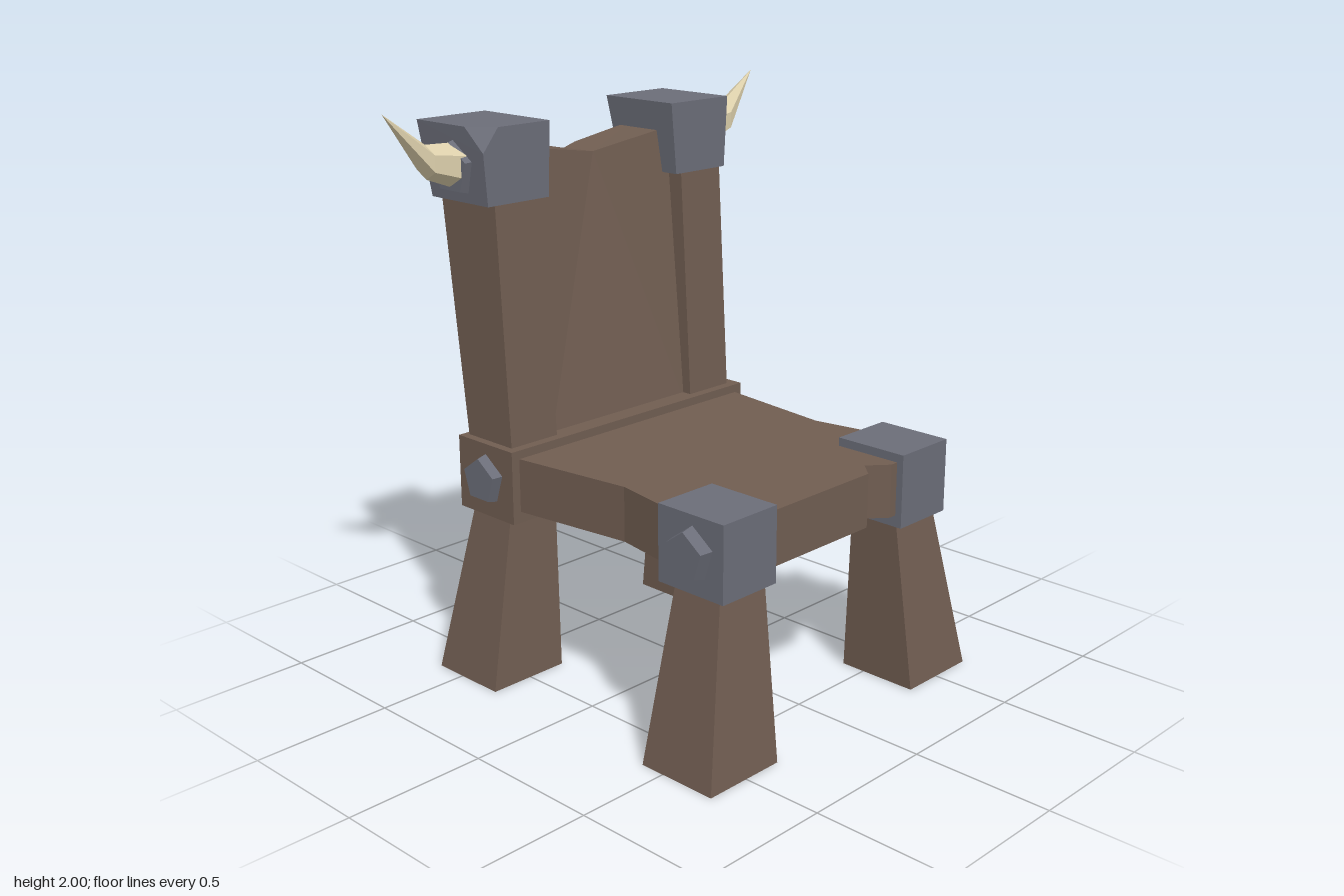
import * as THREE from 'three';
import { ConvexGeometry } from 'three/addons/geometries/ConvexGeometry.js';

const material = (name, color) => {
  const m = new THREE.MeshStandardMaterial({ color });
  m.name = name;
  return m;
};

// Geometry from a list of points and triangles
function triangles(points, faces) {
  const g = new THREE.BufferGeometry();
  g.setAttribute('position', new THREE.Float32BufferAttribute(points.flat(), 3));
  g.setIndex(faces.flat());
  return g;
}

// Skin through closed rings of equal length
function loft(rings) {
  const n = rings[0].length, faces = [];
  for (let j = 0; j < rings.length - 1; j++) {
    for (let i = 0; i < n; i++) {
      const a = j * n + i, b = j * n + (i + 1) % n;
      faces.push([a, b, b + n], [a, b + n, a + n]);
    }
  }
  return triangles(rings.flat(), faces);
}

// Corners of a rectangle [x0, x1, z0, z1] at height y
const rect = (y, [x0, x1, z0, z1]) =>
  [[x0, y, z0], [x1, y, z0], [x1, y, z1], [x0, y, z1]];
const solid = (points) => new ConvexGeometry(points.map((p) => new THREE.Vector3(...p)));
const block = (y0, r0, y1, r1 = r0) => solid([...rect(y0, r0), ...rect(y1, r1)]);

export function createModel() {
  const model = new THREE.Group();
  model.name = 'chair';
  const wood = material('brown wood', 0x705d51);
  const metal = material('grey metal', 0x6b6d78);
  const bone = material('pale horn', 0xdccfab);

  const add = (name, geometry, mat) => {
    const flat = geometry.index ? geometry.toNonIndexed() : geometry;
    flat.computeVertexNormals();
    const mesh = new THREE.Mesh(flat, mat);
    mesh.name = name;
    model.add(mesh);
    return mesh;
  };
  const flip = (r, s) => (s > 0 ? r : [-r[1], -r[0], r[2], r[3]]);

  // Seat with waisted sides and a chip in the front edge
  const outline = [[-0.54, -0.32], [0.54, -0.32], [0.48, 0.15], [0.54, 0.5], [0.54, 0.64],
    [0.29, 0.64], [0.22, 0.58], [0.165, 0.64], [-0.54, 0.64], [-0.54, 0.5], [-0.48, 0.15]];
  const seat = new THREE.ExtrudeGeometry(
    new THREE.Shape(outline.map((p) => new THREE.Vector2(...p))),
    { depth: 0.19, bevelEnabled: false });
  seat.rotateX(Math.PI / 2).translate(0, 0.83, 0);
  add('seat', seat, wood);
  add('rearBeam', block(0.6, [-0.57, 0.57, -0.58, -0.3], 0.86), wood);

  // Back panel, dished in front and split at the top of the rear face
  add('backPanel', triangles([
    [-0.34, 0.8, -0.365], [0.34, 0.8, -0.365], [0.34, 1.845, -0.455], [0, 1.79, -0.49],
    [-0.34, 1.845, -0.455],
    [-0.34, 0.8, -0.52], [0.34, 0.8, -0.52], [0.34, 1.845, -0.65], [0.06, 1.8, -0.65],
    [-0.02, 1.79, -0.62], [-0.07, 1.8, -0.65], [-0.34, 1.845, -0.65], [0, 1.62, -0.623],
  ], [
    [0, 1, 3], [1, 2, 3], [0, 3, 4],
    [4, 3, 9], [4, 9, 10], [4, 10, 11], [3, 2, 7], [3, 7, 8], [3, 8, 9],
    [12, 8, 7], [12, 7, 6], [12, 6, 5], [12, 5, 11], [12, 11, 10],
    [12, 10, 9], [12, 9, 8],
  ]), wood);

  // Left post with a chipped outer rear corner: [y, chipDepth]
  const postRing = ([y, chip]) => {
    const t = (y - 0.86) / 0.82;
    const front = -0.335 - 0.045 * t, back = -0.56 - 0.095 * t;
    return [[0.33, y, front], [0.53, y, front], [0.53, y, back + chip],
      [0.53 - chip, y, back], [0.33, y, back]];
  };
  add('leftPost', loft([[0.8, 0], [1.19, 0], [1.32, 0.066], [1.44, 0], [1.76, 0]].map(postRing)), wood);
  add('rightPost', block(0.8, [-0.54, -0.335, -0.553, -0.332], 1.76, [-0.54, -0.335, -0.664, -0.384]), wood);

  // Caps on the posts; the right one has a cut corner
  add('leftCap', block(1.685, [0.3, 0.55, -0.665, -0.375], 1.94, [0.277, 0.567, -0.71, -0.375]), metal);
  add('rightCap', solid([
    ...rect(1.685, [-0.572, -0.31, -0.665, -0.375]),
    [-0.298, 1.94, -0.375], [-0.298, 1.94, -0.71], [-0.59, 1.94, -0.71],
    [-0.52, 1.94, -0.375], [-0.59, 1.94, -0.46], [-0.585, 1.86, -0.375],
  ]), metal);

  // Five-sided bolt and bent horn, both pointing along +x
  const bolt = (r) => new THREE.CylinderGeometry(r * 0.82, r, 0.07, 5, 1, false, -Math.PI / 2)
    .rotateZ(-Math.PI / 2);
  const hornRing = ([x, y, r]) => Array.from({ length: 6 }, (_, i) => {
    const a = i * Math.PI / 3;
    return [x, y + r * Math.cos(a), r * Math.sin(a)];
  });
  const horn = () => loft([[0.58, 0, 0.077], [0.7, 0.025, 0.057], [0.863, 0.195, 0]].map(hornRing));

  for (const s of [1, -1]) {
    const side = s > 0 ? 'left' : 'right';
    const turn = s > 0 ? 0 : Math.PI;

    // Splayed legs
    add(side + 'FrontLeg', block(0, flip([0.352, 0.662, 0.41, 0.71], s),
      0.66, flip([0.335, 0.53, 0.445, 0.625], s)), wood);
    add(side + 'RearLeg', block(0, flip([0.352, 0.662, -0.62, -0.32], s),
      0.64, flip([0.335, 0.535, -0.535, -0.352], s)), wood);

    // Front corner blocks
    add(side + 'CornerBlock', block(0.598, flip([0.32, 0.563, 0.388, 0.665], s), 0.86), metal);

    // Bolts and horns
    for (const [name, r, y, z] of [['FrontBolt', 0.097, 0.735, 0.535],
      ['RearBolt', 0.097, 0.735, -0.438], ['HornSocket', 0.107, 1.797, -0.527]]) {
      const b = add(side + name, bolt(r), metal);
      b.position.set(s * 0.571, y, z);
      b.rotation.y = turn;
    }
    const h = add(side + 'Horn', horn(), bone);
    h.position.set(0, 1.805, -0.527);
    h.rotation.y = turn;
  }
  return model;
}
